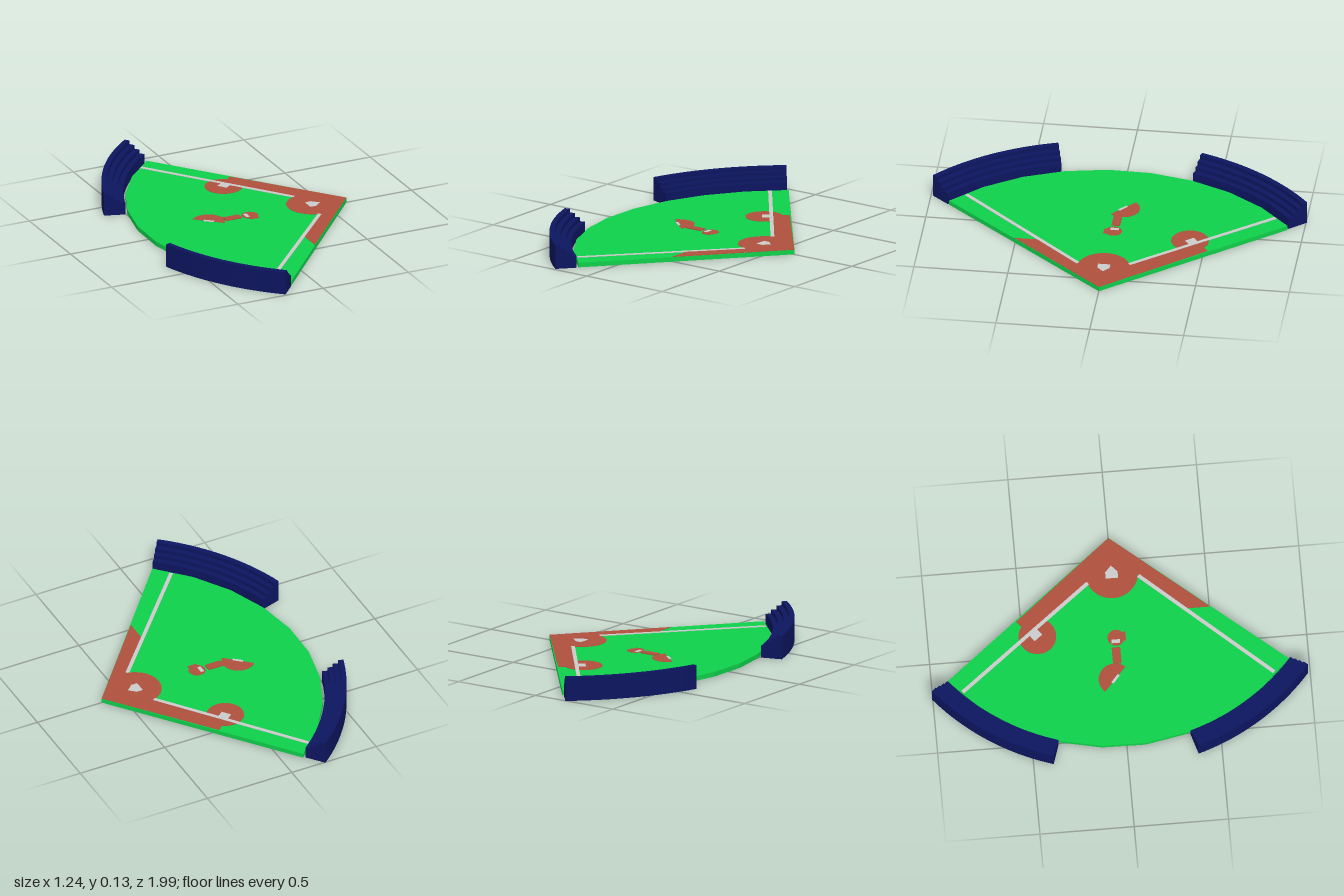
import * as THREE from 'three';

const HOME_X = 0.62;
const rad = THREE.MathUtils.degToRad;
const mat = (color, extra = {}) => new THREE.MeshStandardMaterial({ color, flatShading: true, ...extra });
const grass = mat(0x0fd14a), dirt = mat(0xb0503c), chalk = mat(0xcccccc);
const navy = mat(0x0d1560, { side: THREE.DoubleSide });

// point at radius r around the home corner, angle measured from -x towards -z
const polar = (r, deg) => [HOME_X - r * Math.cos(rad(deg)), -r * Math.sin(rad(deg))];
const toShape = (pts) => new THREE.Shape(pts.map(([x, z]) => new THREE.Vector2(x, -z)));

// flat slab with an [x, z] outline between two heights
function slab(name, pts, y0, y1, material) {
  const geo = new THREE.ExtrudeGeometry(toShape(pts), { depth: y1 - y0, bevelEnabled: false });
  geo.rotateX(-Math.PI / 2).translate(0, y0, 0);
  const mesh = new THREE.Mesh(geo, material);
  mesh.name = name;
  return mesh;
}

function arc(cx, cz, r, from = 0, to = 360, n = 28) {
  const pts = [];
  const count = to - from === 360 ? n : n + 1;
  for (let i = 0; i < count; i++) {
    const a = rad(from + (to - from) * i / n);
    pts.push([cx + r * Math.cos(a), cz + r * Math.sin(a)]);
  }
  return pts;
}

function rect(cx, cz, w, d, deg = 0) {
  const c = Math.cos(rad(deg)), s = Math.sin(rad(deg));
  return [[-1, -1], [1, -1], [1, 1], [-1, 1]].map(([i, j]) => {
    const x = i * w / 2, z = j * d / 2;
    return [cx + x * c - z * s, cz + x * s + z * c];
  });
}

function line([x0, z0], [x1, z1], width) {
  const dx = x1 - x0, dz = z1 - z0;
  return rect((x0 + x1) / 2, (z0 + z1) / 2, Math.hypot(dx, dz), width, THREE.MathUtils.radToDeg(Math.atan2(dz, dx)));
}

// curved stepped stand: swept profile plus two end caps
function stand(name, from, to) {
  const group = new THREE.Group();
  group.name = name;
  const inner = 1.18, outer = 1.295, tread = (outer - inner) / 4;
  const heights = [0.128, 0.107, 0.086, 0.065];
  const profile = [new THREE.Vector2(inner, 0), new THREE.Vector2(outer, 0)];
  heights.forEach((h, i) => {
    profile.push(new THREE.Vector2(outer - i * tread, h), new THREE.Vector2(outer - (i + 1) * tread, h));
  });
  const start = rad(270 - to), length = rad(to - from);
  const seats = new THREE.Mesh(new THREE.LatheGeometry([...profile, profile[0]], 20, start, length), navy);
  seats.name = 'steppedSeats';
  group.add(seats);
  for (const phi of [start, start + length]) {
    const cap = new THREE.Mesh(new THREE.ShapeGeometry(new THREE.Shape(profile)), navy);
    cap.name = 'standEnd';
    cap.rotation.y = phi - Math.PI / 2;
    group.add(cap);
  }
  group.position.x = HOME_X;
  return group;
}

export function createModel() {
  const model = new THREE.Group();
  model.name = 'ballField';

  // fan-shaped field with a faceted outer edge and a bare earth underside
  const outline = [[HOME_X, 0]];
  for (let i = 0; i <= 9; i++) outline.push(polar(1.17, -49.8 + 101.1 * i / 9));
  model.add(slab('grass', outline, 0.001, 0.026, grass));
  const underside = new THREE.Mesh(new THREE.ShapeGeometry(toShape(outline)).rotateX(-Math.PI / 2), mat(0xb0503c, { side: THREE.BackSide }));
  underside.name = 'underside';
  model.add(underside);

  // bare earth areas
  const base = 0.02, top = 0.0275;
  model.add(
    slab('homeCornerDirt', [[0.619, 0], [0.19, -0.526], [0.15, -0.49], [0.17, -0.41], [0.22, -0.34],
      [0.37, -0.13], [0.42, 0], [0.40, 0.14], [0.19, 0.36], [0.19, 0.505]], base, top, dirt),
    slab('homeCircle', arc(0.42, 0, 0.14), base, top + 0.0003, dirt),
    slab('sideBaseCircle', arc(0.10, -0.42, 0.10), base, top + 0.0003, dirt),
    slab('farBaseHalfCircle', arc(-0.175, -0.03, 0.088, -138, 42), base, top, dirt),
    slab('pitchingCircle', arc(0.057, -0.007, 0.045, 0, 360, 20), base, top, dirt),
    slab('pitchingFoot', rect(0.062, 0.03, 0.05, 0.03), base, top + 0.0003, dirt),
    slab('pitchingStrip', rect(-0.043, -0.012, 0.09, 0.045), base, 0.031, dirt)
  );

  // chalk lines, bases and plates
  const mark = 0.029;
  model.add(
    slab('foulLineRight', line([-0.18, -0.84], [0.375, -0.13], 0.02), base, mark, chalk),
    slab('foulLineLeft', line([-0.205, 0.81], [0.395, 0.14], 0.02), base, mark, chalk),
    slab('sideBase', rect(0.112, -0.432, 0.055, 0.055, 52), base, mark + 0.0005, chalk),
    slab('farBase', line([-0.195, -0.047], [-0.152, -0.01], 0.014), base, mark, chalk),
    slab('pitchingPlate', rect(0.037, -0.01, 0.02, 0.045), base, mark, chalk),
    slab('homePlate', [[0.392, -0.033], [0.427, -0.033], [0.463, 0], [0.427, 0.033], [0.392, 0.033]], base, mark, chalk)
  );

  // stands beside the outer edge
  model.add(stand('standRear', 17.7, 50.9), stand('standFront', -49.8, -16.8));
  return model;
}
